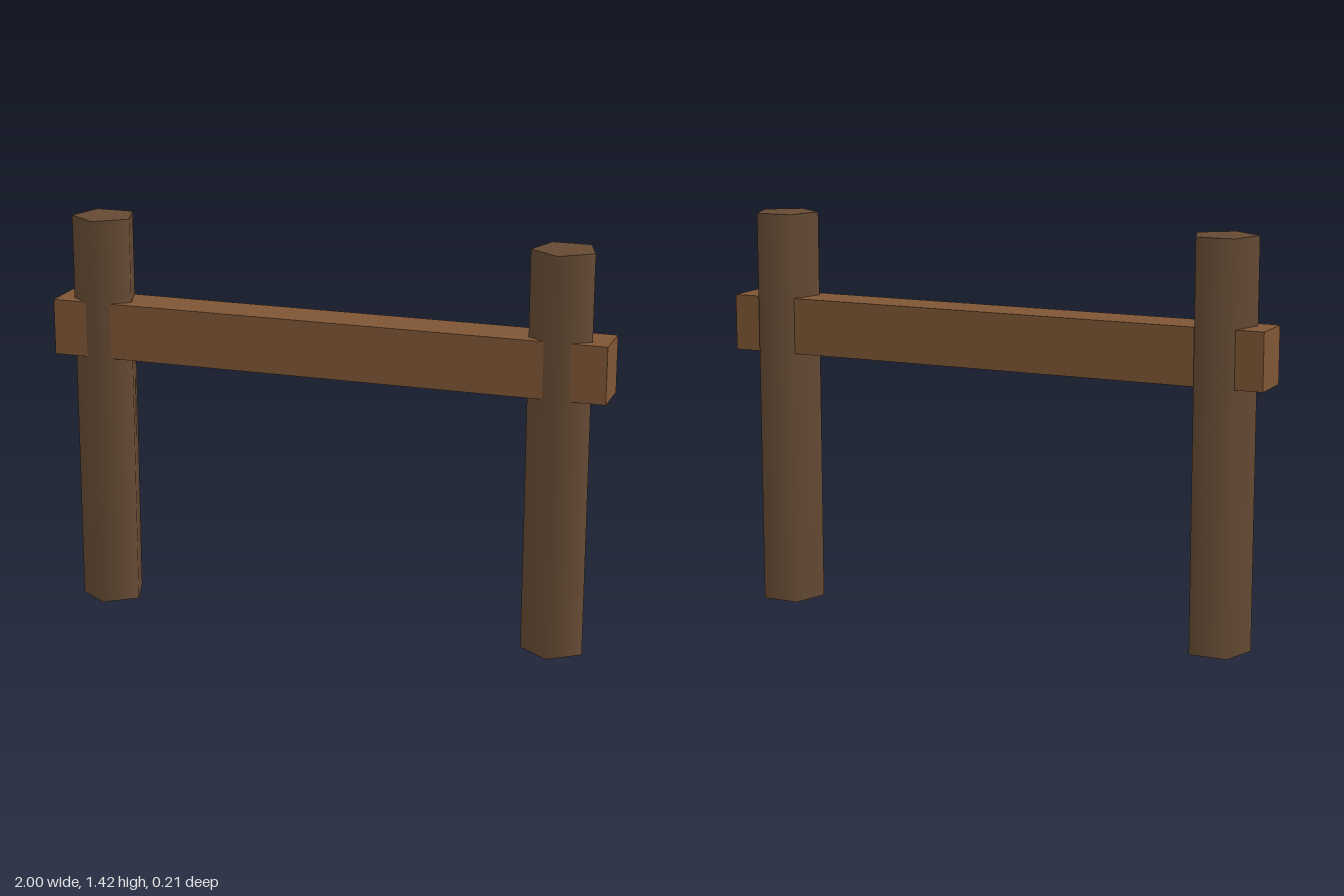
import * as THREE from 'three';

export function createModel() {
  const group = new THREE.Group();
  const postWood = new THREE.MeshStandardMaterial({ color: 0x654a33 });
  const railWood = new THREE.MeshStandardMaterial({ color: 0x7f5636 });
  const axisZ = -0.011;

  // Two five-sided posts with smoothly shaded sides, one corner facing front
  const postHeight = 1.42;
  const postGeometry = new THREE.CylinderGeometry(0.115, 0.115, postHeight, 5);
  for (const [name, side] of [['leftPost', 1], ['rightPost', -1]]) {
    const post = new THREE.Mesh(postGeometry, postWood);
    post.name = name;
    post.position.set(side * 0.83, postHeight / 2, axisZ);
    group.add(post);
  }

  // Crossbar running through both posts
  const rail = new THREE.Mesh(new THREE.BoxGeometry(2, 0.2, 0.163), railWood);
  rail.name = 'crossbar';
  rail.position.set(0, 1.02, axisZ);
  group.add(rail);

  return group;
}
